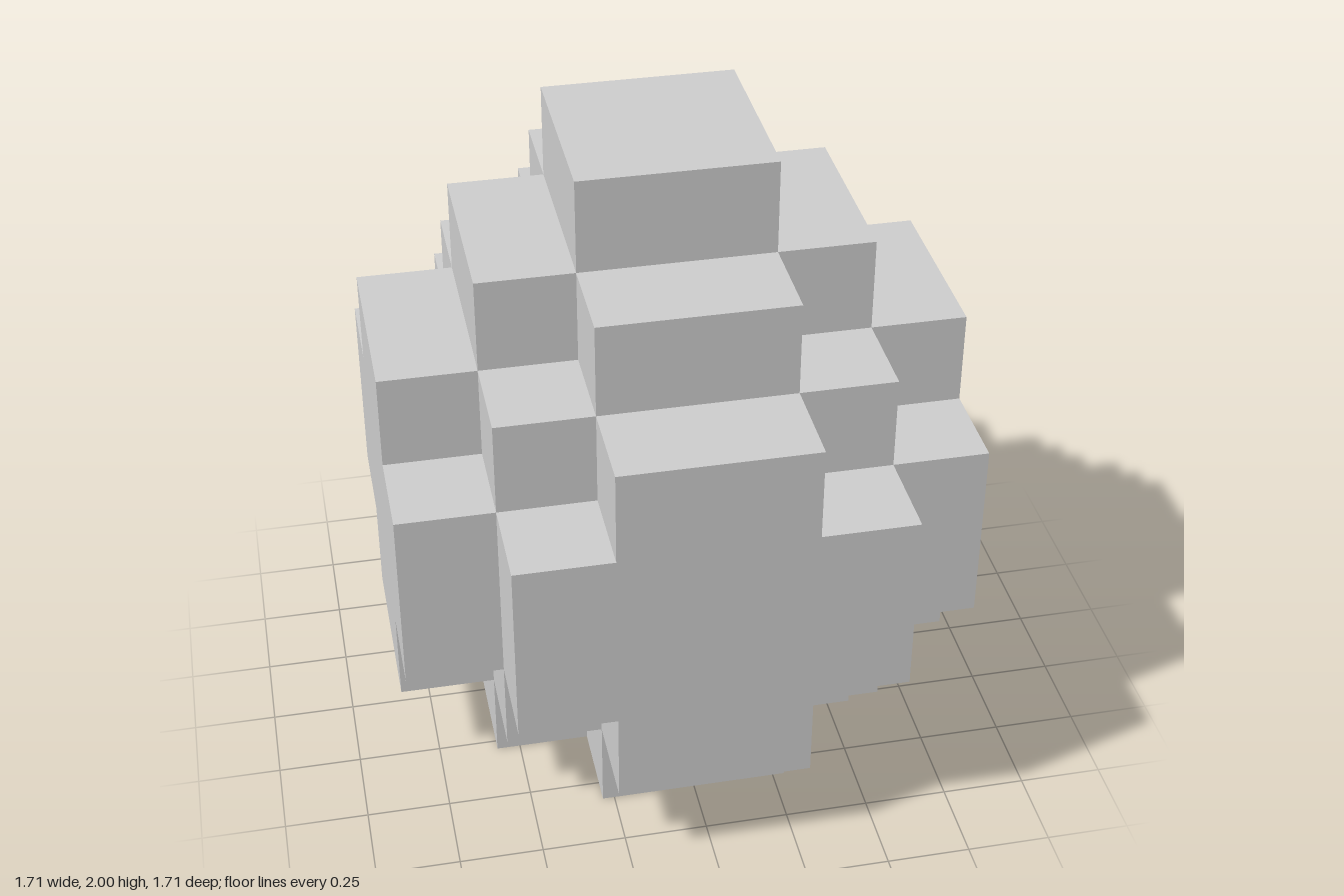
import * as THREE from 'three';
import { mergeGeometries } from 'three/addons/utils/BufferGeometryUtils.js';

const U = 2 / 7; // edge of one block

// Half-widths in x, in blocks, for the rows at |z| = 0-1, 1-2 and 2-3
const SQUARE = [1, 0, 0];
const CROSS = [2, 1, 0];
const STEPPED = [3, 2, 1];
const FULL = [3, 3, 2];
const LAYERS = [CROSS, STEPPED, FULL, FULL, STEPPED, CROSS, SQUARE];

const PARTS = [
  { name: 'base', layers: [0] },
  { name: 'lowerStep', layers: [1] },
  { name: 'middleBody', layers: [2, 3] },
  { name: 'upperStep', layers: [4] },
  { name: 'shoulder', layers: [5] },
  { name: 'topBlock', layers: [6] },
];

const DIRECTIONS = [
  [1, 0, 0], [-1, 0, 0], [0, 1, 0], [0, -1, 0], [0, 0, 1], [0, 0, -1],
].map((d) => new THREE.Vector3(...d));

// Distance of a cell from the centre line: cells -3..2 become 2,1,0,0,1,2
const ring = (i) => (i >= 0 ? i : -1 - i);

function isFilled(x, y, z) {
  const rows = LAYERS[y];
  return !!rows && ring(z) < 3 && ring(x) < rows[ring(z)];
}

// One outward square on the side of a block
function blockFace(x, y, z, dir) {
  const turn = new THREE.Quaternion().setFromUnitVectors(new THREE.Vector3(0, 0, 1), dir);
  const centre = new THREE.Vector3(x + 0.5, y + 0.5, z + 0.5).addScaledVector(dir, 0.5);
  return new THREE.PlaneGeometry(U, U)
    .applyQuaternion(turn)
    .translate(centre.x * U, centre.y * U, centre.z * U);
}

// Only the exposed faces of the given layers
function layerGeometry(layers) {
  const faces = [];
  for (const y of layers) {
    for (let x = -3; x < 3; x++) {
      for (let z = -3; z < 3; z++) {
        if (!isFilled(x, y, z)) continue;
        for (const d of DIRECTIONS) {
          if (!isFilled(x + d.x, y + d.y, z + d.z)) faces.push(blockFace(x, y, z, d));
        }
      }
    }
  }
  return mergeGeometries(faces);
}

export function createModel() {
  const model = new THREE.Group();
  model.name = 'steppedBlockOrb';
  const grey = new THREE.MeshStandardMaterial({ color: 0xcccccc });
  grey.name = 'light grey';

  for (const { name, layers } of PARTS) {
    const mesh = new THREE.Mesh(layerGeometry(layers), grey);
    mesh.name = name;
    model.add(mesh);
  }
  return model;
}
